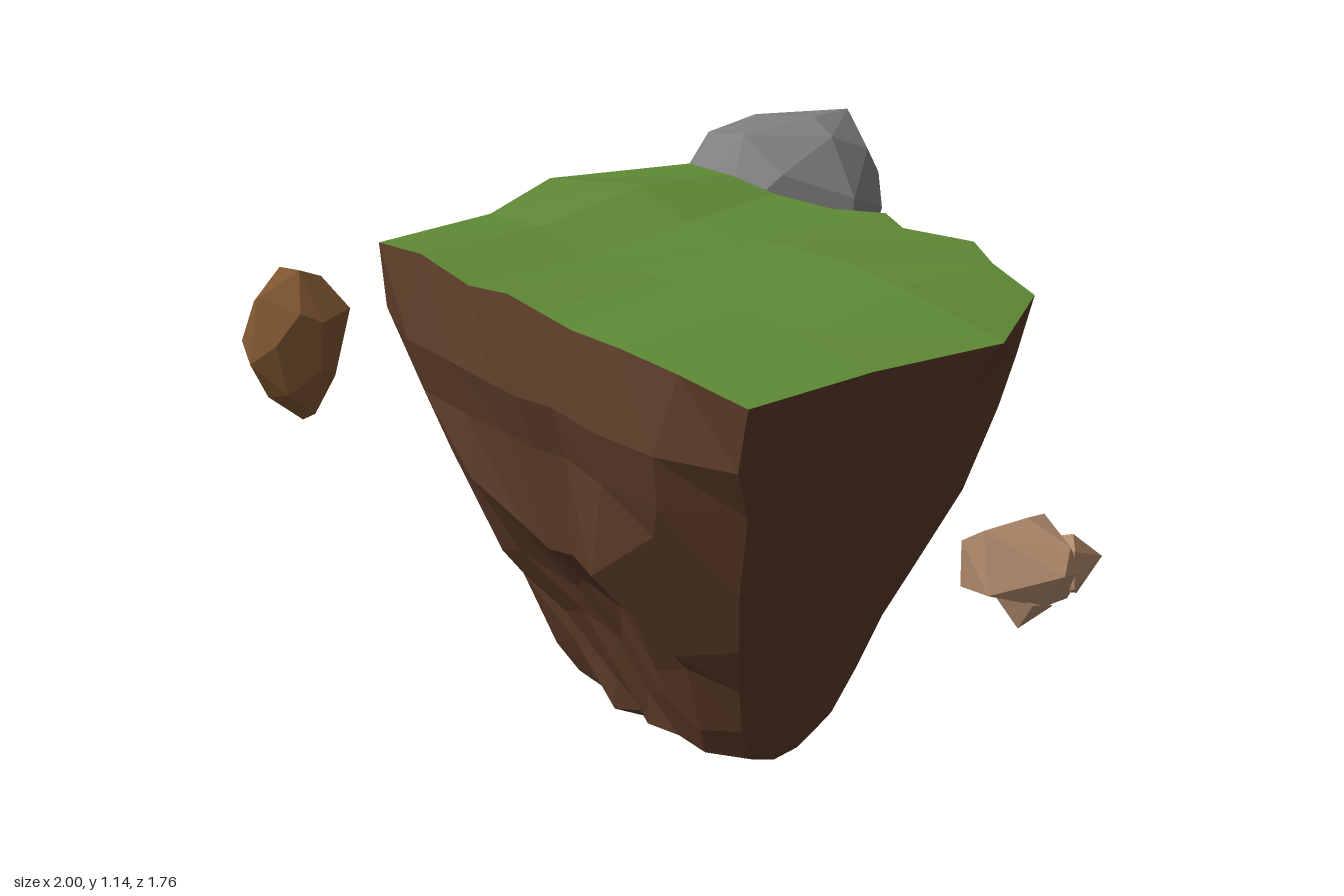
import * as THREE from 'three';
import { ConvexGeometry } from 'three/addons/geometries/ConvexGeometry.js';

const mat = (name, color) => {
  const m = new THREE.MeshStandardMaterial({ color, flatShading: true });
  m.name = name;
  return m;
};

function meshFromTriangles(name, tris, material) {
  const g = new THREE.BufferGeometry();
  g.setAttribute('position', new THREE.Float32BufferAttribute(tris.flat(), 3));
  g.computeVertexNormals();
  const mesh = new THREE.Mesh(g, material);
  mesh.name = name;
  return mesh;
}

function hull(name, points, material) {
  const mesh = new THREE.Mesh(new ConvexGeometry(points.map(p => new THREE.Vector3(...p))), material);
  mesh.name = name;
  return mesh;
}

// Grass surface: rows run from back to front, each vertex is [x, y, z]
function grassGrid() {
  const xs = [
    [-0.27, -0.1, 0.03, 0.2, 0.31, 0.43, 0.58, 0.72, 0.87],
    [-0.43, -0.1, 0.06, 0.22, 0.31, 0.4, 0.56, 0.73, 1.0],
    [-0.3, -0.1, 0.06, 0.22, 0.31, 0.4, 0.56, 0.73, 0.93],
    [-0.3, -0.1, 0.06, 0.22, 0.31, 0.4, 0.56, 0.73, 0.9],
  ];
  const ys = [
    [1.1, 1.11, 1.09, 1.09, 1.09, 1.1, 1.09, 1.1, 1.08],
    [1.09, 1.145, 1.09, 1.09, 1.11, 1.125, 1.13, 1.12, 1.08],
    [1.09, 1.11, 1.075, 1.09, 1.1, 1.11, 1.11, 1.1, 1.08],
    [1.09, 1.12, 1.09, 1.12, 1.105, 1.09, 1.1, 1.1, 1.08],
  ];
  const zs = [
    [-0.09, -0.08, -0.1, -0.12, -0.19, -0.12, -0.19, -0.09, -0.05],
    [0.22, 0.2, 0.2, 0.2, 0.2, 0.2, 0.2, 0.2, 0.2],
    [0.49, 0.49, 0.49, 0.49, 0.49, 0.49, 0.49, 0.49, 0.49],
    [0.79, 0.81, 0.8, 0.815, 0.805, 0.795, 0.8, 0.8, 0.78],
  ];
  return xs.map((row, r) => row.map((x, c) => [x, ys[r][c], zs[r][c]]));
}

function earthRings(rim) {
  // y, xMin, xMax, zMin, zMax, front bulge, fading of the back folds
  const levels = [
    [0.94, -0.35, 0.93, -0.09, 0.88, 0.1, 0.6],
    [0.82, -0.27, 0.87, -0.05, 0.87, 0.13, 0.75],
    [0.62, -0.175, 0.815, -0.03, 0.885, 0.18, 0.55],
    [0.45, -0.14, 0.76, 0.06, 0.79, 0.13, 0.5],
    [0.32, -0.11, 0.715, 0.13, 0.72, 0.1, 0.5],
    [0.19, -0.06, 0.68, 0.19, 0.67, 0.09, 0.6],
    [0.08, -0.02, 0.65, 0.25, 0.62, 0.1, 0.7],
    [0.035, 0.06, 0.62, 0.28, 0.52, 0.07, 0.75],
  ];
  // Depth of the crags in the front face, left to right in x
  const crags = [
    [0, 0, 0.01, 0, 0.01, 0, 0],
    [0, 0.01, 0.03, 0.02, 0.03, 0.01, 0],
    [0.02, 0, 0.05, 0.05, 0.05, 0, 0.02],
    [0.04, 0.02, 0.09, 0.05, 0.09, 0.03, 0.02],
    [0.02, 0.06, 0.04, 0.08, 0.04, 0.05, 0.02],
    [0.03, 0.02, 0.06, 0.02, 0.06, 0.02, 0.03],
    [0.02, 0.03, 0, 0.04, 0.01, 0.03, 0.01],
    [0, 0, 0, 0, 0, 0, 0],
  ];
  const ledge = [0.08, 0.07, 0, -0.03, -0.02, 0, 0.12];
  return levels.map(([y, x0, x1, z0, z1, bulge, fade], i) => rim.map((p, k) => {
    // The side points merge into the walls; the right side stays rounder
    const side = p[0] < 0.285 ? 0.22 : 0.11;
    const stretch = 1 + side * Math.min(1, (i + 1) / 2);
    const u = THREE.MathUtils.clamp(((p[0] - 0.285) / 0.715) * stretch, -1, 1);
    let v = (p[2] - 0.3125) / 0.5025;
    if (k <= 8) v = THREE.MathUtils.lerp(v, -1, fade);
    const pos = [(x0 + x1) / 2 + u * (x1 - x0) / 2, y, (z0 + z1) / 2 + v * (z1 - z0) / 2];
    const col = 19 - k;
    if (col >= 0 && col <= 8) pos[2] -= bulge * u ** 4;
    if (col >= 1 && col <= 7) {
      pos[2] -= crags[i][col - 1];
      if (i === 2) pos[1] += ledge[col - 1];
      if (i > 2 && i < 6) pos[1] += (col + i) % 2 ? 0.03 : -0.03;
    }
    return pos;
  }));
}

export function createModel() {
  const group = new THREE.Group();
  const grass = mat('grass green', 0x5f8a35);
  const earth = mat('earth brown', 0x5a3a27);
  const grey = mat('stone grey', 0x808080);
  const tan = mat('stone tan', 0xb08a6c);
  const brown = mat('stone brown', 0x7d5530);

  // Grass top
  const grid = grassGrid();
  const top = [];
  for (let r = 0; r < 3; r++) for (let c = 0; c < 8; c++) {
    const a = grid[r][c], b = grid[r][c + 1], d = grid[r + 1][c], e = grid[r + 1][c + 1];
    top.push(...a, ...d, ...b, ...b, ...d, ...e);
  }
  group.add(meshFromTriangles('grassTop', top, grass));

  // Earth body hanging from the grass rim
  const rim = [
    ...grid[0], grid[1][8], grid[2][8],
    ...[...grid[3]].reverse(), grid[2][0], grid[1][0],
  ];
  const rings = [rim, ...earthRings(rim)];
  const walls = [];
  const tip = [0.14, 0, 0.42];
  rings.forEach((ring, i) => ring.forEach((a, k) => {
    const n = (k + 1) % ring.length;
    const b = ring[n], next = rings[i + 1];
    if (next) walls.push(...a, ...b, ...next[k], ...b, ...next[n], ...next[k]);
    else walls.push(...a, ...b, ...tip);
  }));
  group.add(meshFromTriangles('earthBody', walls, earth));

  // Large grey boulder
  group.add(hull('greyBoulder', [
    [-0.38, 0.89, -0.89], [-0.45, 1.07, -0.83], [-0.4, 1.09, -0.65], [-0.58, 1.07, -0.6],
    [-0.3, 1.06, -0.62], [-0.42, 1.08, -0.41], [-0.56, 1.06, -0.41], [-0.52, 0.86, -0.22],
    [-0.32, 0.88, -0.25], [-0.5, 0.66, -0.17], [-0.3, 0.64, -0.22], [-0.46, 0.46, -0.28],
    [-0.46, 0.42, -0.4], [-0.35, 0.48, -0.59], [-0.4, 0.57, -0.73], [-0.38, 0.7, -0.83],
    [-0.66, 0.9, -0.58], [-0.71, 0.69, -0.58], [-0.66, 0.7, -0.35], [-0.6, 0.5, -0.33],
    [-0.58, 0.62, -0.67], [-0.58, 0.85, -0.81], [-0.3, 0.48, -0.42], [-0.18, 0.57, -0.5],
    [-0.16, 0.75, -0.55], [-0.19, 0.92, -0.6], [-0.23, 0.85, -0.75], [-0.64, 0.9, -0.36],
    [-0.28, 1.0, -0.42], [-0.3, 1.0, -0.76], [-0.25, 0.65, -0.68],
  ], grey));

  // Small brown stone
  group.add(hull('brownStone', [
    [-0.94, 0.84, 0.7], [-0.86, 0.85, 0.69], [-0.78, 0.73, 0.68], [-0.79, 0.6, 0.69],
    [-0.83, 0.47, 0.7], [-0.88, 0.44, 0.71], [-0.95, 0.52, 0.7], [-1.0, 0.66, 0.7],
    [-0.99, 0.75, 0.64], [-0.87, 0.7, 0.58], [-0.8, 0.74, 0.59], [-0.83, 0.68, 0.79],
    [-0.88, 0.63, 0.84], [-0.97, 0.66, 0.81], [-0.9, 0.79, 0.79], [-0.87, 0.54, 0.61],
    [-0.9, 0.52, 0.79], [-0.86, 0.82, 0.63], [-0.96, 0.76, 0.77], [-0.8, 0.76, 0.73],
    [-0.82, 0.56, 0.64], [-0.83, 0.54, 0.77], [-0.97, 0.62, 0.64],
  ], brown));

  // Small tan stone with two jagged points
  const tanStone = new THREE.Group();
  tanStone.name = 'tanStone';
  tanStone.add(
    hull('tanCore', [
      [0.51, 0.28, -0.285], [0.55, 0.31, -0.32], [0.6, 0.33, -0.42], [0.59, 0.31, -0.5],
      [0.6, 0.16, -0.29], [0.51, 0.15, -0.29], [0.48, 0.22, -0.5], [0.48, 0.18, -0.42],
      [0.72, 0.21, -0.43], [0.7, 0.27, -0.47], [0.7, 0.18, -0.52], [0.56, 0.23, -0.54],
      [0.55, 0.09, -0.47], [0.65, 0.08, -0.54], [0.67, 0.11, -0.42], [0.55, 0.11, -0.38],
    ], tan),
    hull('tanLowerPoint', [
      [0.61, 0.03, -0.4], [0.55, 0.13, -0.36], [0.67, 0.13, -0.38], [0.58, 0.09, -0.47],
      [0.66, 0.09, -0.47],
    ], tan),
    hull('tanBackPoint', [
      [0.68, 0.18, -0.63], [0.56, 0.22, -0.53], [0.66, 0.27, -0.53], [0.7, 0.25, -0.49],
      [0.7, 0.14, -0.5], [0.62, 0.08, -0.55], [0.67, 0.1, -0.55],
    ], tan),
  );
  group.add(tanStone);
  return group;
}
